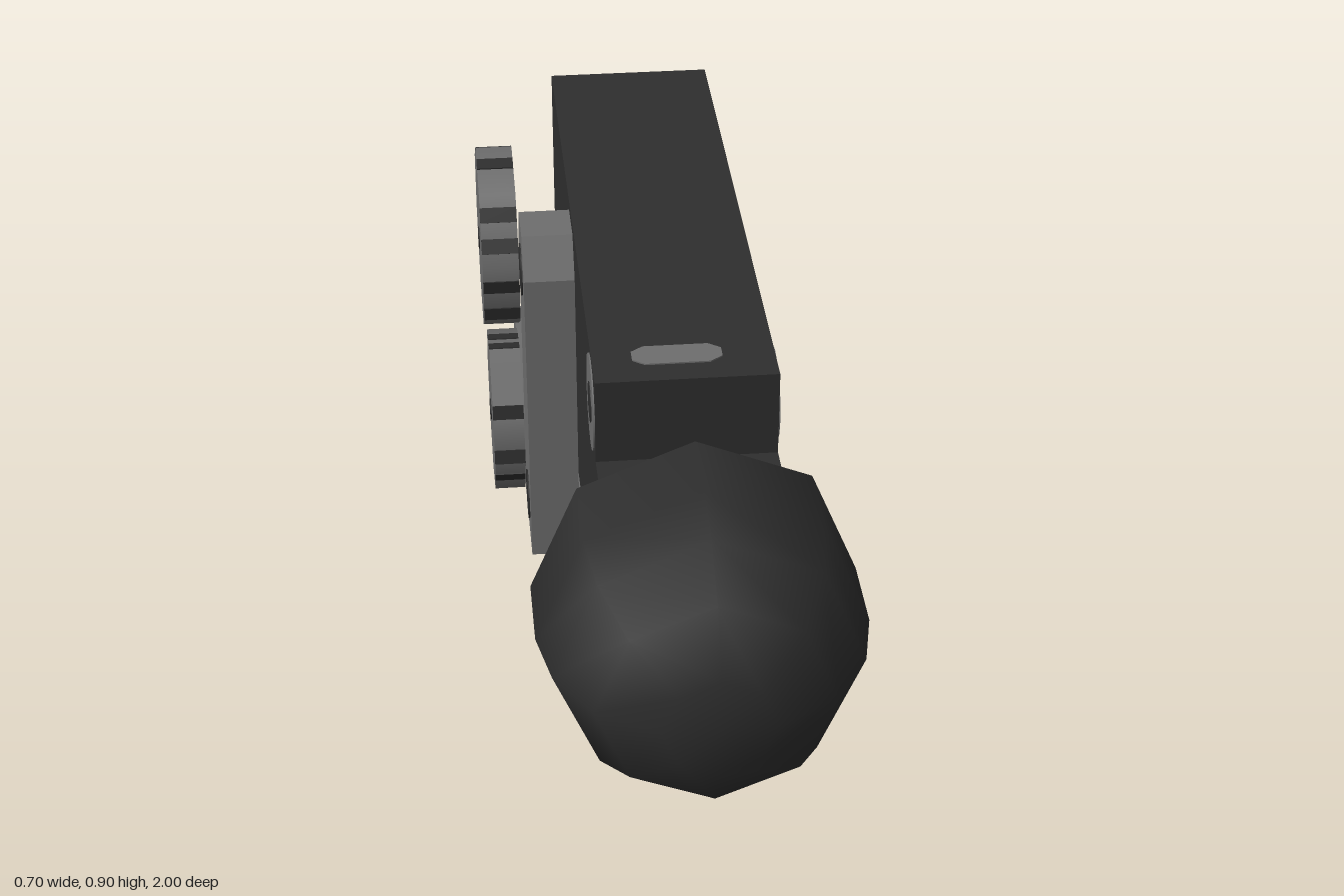
import * as THREE from 'three';

const rad = THREE.MathUtils.degToRad;

export function createModel() {
  const model = new THREE.Group();
  const dark = new THREE.MeshStandardMaterial({ color: 0x2e2e2e });
  dark.name = 'dark casing';
  const grey = new THREE.MeshStandardMaterial({ color: 0x6e6e6e });
  grey.name = 'grey metal';

  const add = (name, geometry, material, parent = model) => {
    const mesh = new THREE.Mesh(geometry, material);
    mesh.name = name;
    parent.add(mesh);
    return mesh;
  };
  const extrude = (points, depth) => new THREE.ExtrudeGeometry(
    new THREE.Shape(points.map(([u, v]) => new THREE.Vector2(u, v))),
    { depth, bevelEnabled: false });
  // Slab from a (z, y) outline, spanning x0 to x1
  const sideSlab = (points, x0, x1) =>
    extrude(points, x1 - x0).rotateY(-Math.PI / 2).translate(x1, 0, 0);
  // Slab from an (x, z) outline, spanning y0 to y1
  const flatSlab = (points, y0, y1) =>
    extrude(points, y1 - y0).rotateX(Math.PI / 2).translate(0, y1, 0);
  // Thin disc facing sideways or up and down
  const sideDisc = (name, r, x, y, z, material, t = 0.006) =>
    add(name, new THREE.CylinderGeometry(r, r, t, 16).rotateZ(Math.PI / 2).translate(x, y, z), material);
  const flatDisc = (name, r, x, y, z, material) =>
    add(name, new THREE.CylinderGeometry(r, r, 0.006, 16).translate(x, y, z), material);

  // Casing with a lowered step at the front
  add('casing', sideSlab([
    [-0.97, 0.29], [0.53, 0.29], [0.53, 0.715], [0.385, 0.715], [0.385, 0.9], [-0.97, 0.9],
  ], -0.16, 0.205), dark);

  // Eight-sided dome with a flat back
  const lathe = (pts) => new THREE.LatheGeometry(pts.map(([r, z]) => new THREE.Vector2(r, z)), 8)
    .rotateX(Math.PI / 2).translate(0.022, 0.525, 0);
  add('frontDome', lathe([
    [0.325, 0.53], [0.325, 0.7], [0.3, 0.82], [0.23, 0.93], [0.11, 1], [0, 1],
  ]), dark);
  add('domeBack', lathe([[0, 0.53], [0.325, 0.53]]), dark);

  // Pivot discs on both sides of the casing
  for (const x of [-0.16, 0.205]) {
    sideDisc('pivotRing', 0.1, x, 0.793, 0.285, grey);
    sideDisc('pivotCentre', 0.042, x, 0.793, 0.285, dark, 0.009);
  }

  // Slot plate on top
  add('topSlot', flatSlab([
    [-0.08, 0.28], [-0.055, 0.262], [0.075, 0.262], [0.1, 0.28],
    [0.1, 0.31], [0.075, 0.328], [-0.055, 0.328], [-0.08, 0.31],
  ], 0.897, 0.903), grey);

  // L-shaped side plate with three bolt holes
  add('sidePlate', sideSlab([
    [-0.2, 0.065], [-0.2, 0.79], [-0.25, 0.875], [-0.36, 0.875], [-0.42, 0.79],
    [-0.42, 0.3], [-0.92, 0.3], [-1, 0.17], [-0.95, 0.062], [-0.21, 0.062],
  ], -0.27, -0.16), grey);
  for (const [y, z] of [[0.76, -0.31], [0.16, -0.31], [0.17, -0.905]]) {
    for (const x of [-0.27, -0.16]) sideDisc('plateHole', 0.058, x, y, z, dark);
  }

  // Foot with chamfered corners and two bolt holes
  add('foot', flatSlab([
    [-0.16, -0.2], [0, -0.2], [0.085, -0.28], [0.085, -0.88], [-0.04, -0.945], [-0.16, -0.945],
  ], 0.065, 0.175), grey);
  for (const z of [-0.32, -0.85]) {
    for (const y of [0.065, 0.175]) flatDisc('footHole', 0.05, -0.04, y, z, dark);
  }

  // Eight-sided knobs with grip stripes on the rim
  const knob = (name, r, x0, y, z, turn, stripes) => {
    const group = new THREE.Group();
    group.name = name;
    group.position.set(0, y, z);
    model.add(group);
    const x1 = -0.27, width = x1 - x0, middle = (x0 + x1) / 2;
    add('knobBody', new THREE.CylinderGeometry(r, r, width, 8, 1, false, rad(turn))
      .rotateZ(Math.PI / 2).translate(middle, 0, 0), grey, group);
    add('knobCentre', new THREE.CylinderGeometry(0.026, 0.026, 0.006, 10)
      .rotateZ(Math.PI / 2).translate(x0, 0, 0), dark, group);
    for (const angle of stripes) {
      const facet = rad((Math.floor((angle - turn) / 45) + 0.5) * 45 + turn);
      const reach = r * Math.cos(Math.PI / 8) / Math.cos(rad(angle) - facet);
      const stripe = add('gripStripe', new THREE.BoxGeometry(width, 0.034, 0.006), dark, group);
      stripe.position.set(middle, reach * Math.sin(rad(angle)), reach * Math.cos(rad(angle)));
      stripe.rotation.x = -facet;
    }
  };
  knob('upperKnob', 0.216, -0.352, 0.6525, -0.65, 10, [-28, -5, 23, 43, 84, 109]);
  knob('lowerKnob', 0.192, -0.342, 0.19, -0.63, -10, [-33, -5, 30, 85, 106]);

  return model;
}
